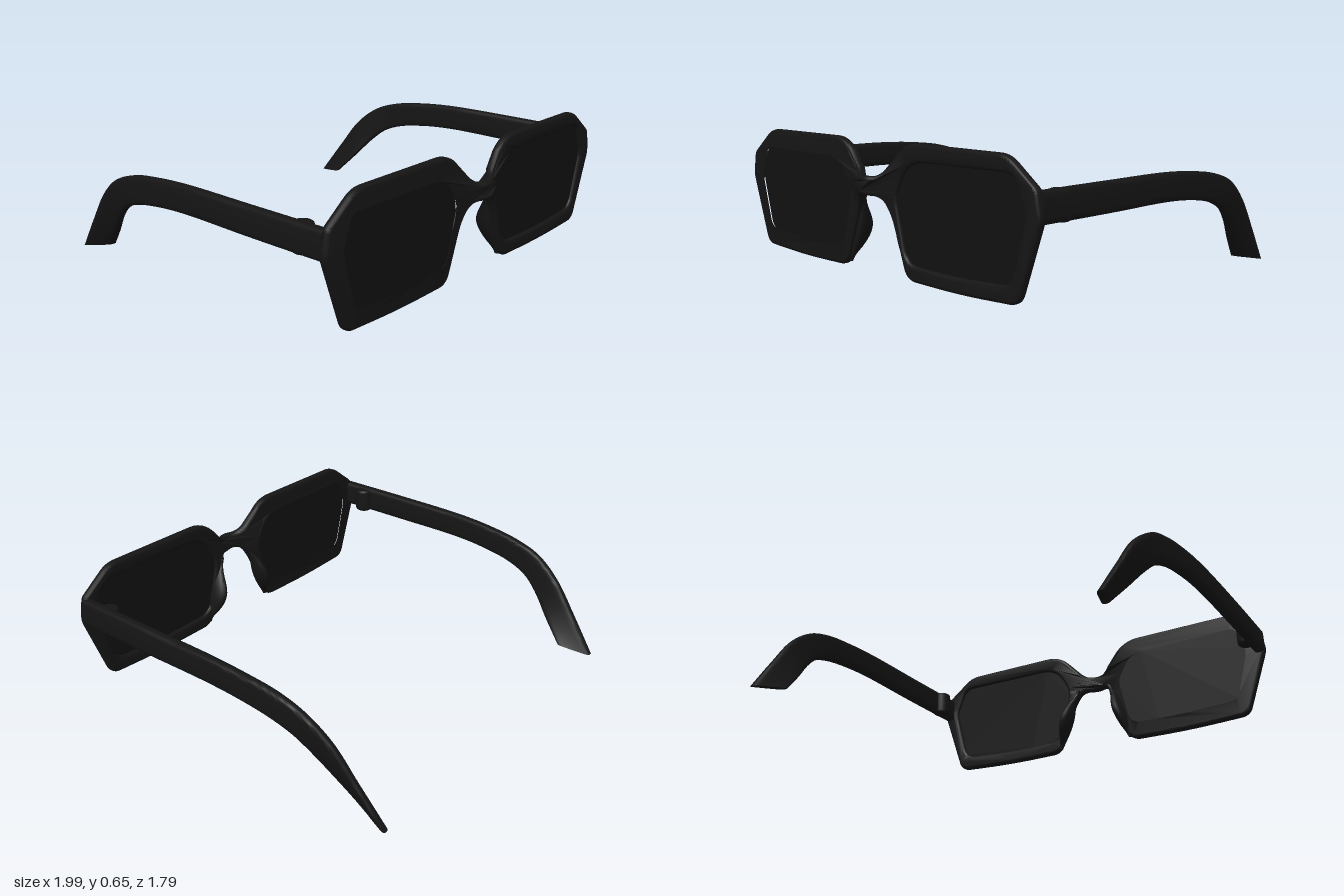
import * as THREE from 'three';
import { mergeVertices, toCreasedNormals } from 'three/addons/utils/BufferGeometryUtils.js';

const frameMat = new THREE.MeshStandardMaterial({ color: 0x151515 });
const lensMat = new THREE.MeshStandardMaterial({ color: 0x111111 });

function part(name, geometry, material = frameMat) {
  const mesh = new THREE.Mesh(geometry, material);
  mesh.name = name;
  return mesh;
}

// Closed outline from [x, y, corner radius] points
function roundedOutline(points, path) {
  const n = points.length;
  points.forEach((p, i) => {
    const corner = new THREE.Vector2(p[0], p[1]);
    const toward = (q) => {
      const d = new THREE.Vector2(q[0], q[1]).sub(corner);
      return corner.clone().add(d.setLength(Math.min(p[2], d.length() * 0.48)));
    };
    const a = toward(points[(i + n - 1) % n]);
    const b = toward(points[(i + 1) % n]);
    if (i === 0) path.moveTo(a.x, a.y);
    else path.lineTo(a.x, a.y);
    path.quadraticCurveTo(corner.x, corner.y, b.x, b.y);
  });
  path.closePath();
  return path;
}

// Capped skin over a list of rings of Vector3
function loft(rings, crease) {
  const n = rings[0].length;
  const last = rings.length - 1;
  const points = rings.flat();
  const index = [];
  for (let i = 0; i < last; i++) {
    for (let j = 0; j < n; j++) {
      const k = (j + 1) % n;
      const a = i * n + j, b = i * n + k, c = a + n, d = b + n;
      index.push(a, c, b, b, c, d);
    }
  }
  for (const end of [0, last]) {
    const centre = new THREE.Vector3();
    rings[end].forEach((p) => centre.addScaledVector(p, 1 / n));
    const m = points.push(centre) - 1;
    for (let j = 0; j < n; j++) {
      const a = end * n + j, b = end * n + ((j + 1) % n);
      if (end === 0) index.push(m, a, b);
      else index.push(m, b, a);
    }
  }
  const geo = new THREE.BufferGeometry().setFromPoints(points);
  geo.setIndex(index);
  return toCreasedNormals(geo, crease);
}

const curve = (pts) => new THREE.CatmullRomCurve3(pts.map((p) => new THREE.Vector3(...p)), false, 'centripetal');

// Left half of the front outline, top centre to bottom centre
const halfOutline = [
  [0, 0.503, 0.02], [0.062, 0.503, 0.04], [0.21, 0.657, 0.08], [0.82, 0.657, 0.05],
  [0.98, 0.535, 0.02], [1.0, 0.42, 0.03], [0.88, 0.078, 0.045], [0.55, 0.062, 0.2],
  [0.215, 0.067, 0.055], [0.12, 0.33, 0.08], [0.075, 0.418, 0.045], [0, 0.418, 0.02],
];
const lensOutline = [
  [0.92, 0.43, 0.04], [0.86, 0.585, 0.05], [0.235, 0.58, 0.1], [0.145, 0.42, 0.05],
  [0.215, 0.14, 0.07], [0.5, 0.13, 0.15], [0.845, 0.15, 0.06],
];
const mirrored = (pts) => pts.map(([x, y, r]) => [-x, y, r]);

function frontFrame() {
  const outline = [...halfOutline, ...mirrored(halfOutline.slice(1, -1)).reverse()];
  const shape = roundedOutline(outline, new THREE.Shape());
  shape.holes.push(roundedOutline(lensOutline, new THREE.Path()));
  shape.holes.push(roundedOutline(mirrored(lensOutline), new THREE.Path()));
  let geo = new THREE.ExtrudeGeometry(shape, {
    depth: 0.012, curveSegments: 10,
    bevelThickness: 0.016, bevelSize: 0.016, bevelOffset: -0.016, bevelSegments: 4,
  });
  geo.translate(0, 0, 0.809);
  // Bow the bridge forward
  const pos = geo.attributes.position;
  for (let i = 0; i < pos.count; i++) {
    const x = Math.min(Math.abs(pos.getX(i)) / 0.14, 1);
    pos.setZ(i, pos.getZ(i) + 0.058 * Math.cos(x * Math.PI / 2) ** 2);
  }
  geo.deleteAttribute('uv');
  geo.deleteAttribute('normal');
  geo = mergeVertices(geo);
  return part('frontFrame', toCreasedNormals(geo, 0.7));
}

function lens() {
  const shape = roundedOutline(lensOutline, new THREE.Shape());
  const geo = new THREE.ExtrudeGeometry(shape, { depth: 0.014, curveSegments: 10, bevelEnabled: false });
  geo.translate(0, 0, 0.808);
  return part('lens', geo, lensMat);
}

// Temple arm: rounded bar between its upper and lower edge, twisting inward at the tip
function temple() {
  const top = curve([
    [0.968, 0.53, 0.81], [0.968, 0.53, 0.4], [0.962, 0.527, 0.0], [0.955, 0.513, -0.2],
    [0.945, 0.488, -0.37], [0.937, 0.44, -0.51], [0.92, 0.34, -0.64], [0.905, 0.185, -0.76], [0.885, 0.004, -0.893],
  ]);
  const bottom = curve([
    [0.968, 0.4, 0.81], [0.968, 0.4, 0.4], [0.962, 0.4, 0.0], [0.955, 0.386, -0.18],
    [0.945, 0.358, -0.34], [0.93, 0.315, -0.45], [0.908, 0.25, -0.53], [0.868, 0.14, -0.63], [0.832, 0.035, -0.73],
  ]);
  const soft = (v) => Math.sign(v) * Math.abs(v) ** 0.45;
  const rings = [];
  const steps = 56;
  for (let i = 0; i <= steps; i++) {
    const u = i / steps;
    const t = top.getPoint(u), b = bottom.getPoint(u);
    const centre = t.clone().add(b).multiplyScalar(0.5);
    const half = t.sub(b).multiplyScalar(0.5);
    const thick = 0.027 - 0.008 * u;
    const ring = [];
    for (let j = 0; j < 24; j++) {
      const a = (j / 24) * Math.PI * 2;
      const p = centre.clone().addScaledVector(half, soft(Math.sin(a)));
      p.x += thick * soft(Math.cos(a));
      ring.push(p);
    }
    rings.push(ring);
  }
  return part('temple', loft(rings, 0.8));
}

// Nose pad: a swell on the back of the inner rim
function nosePad() {
  const path = curve([[0.095, 0.415, 0.81], [0.135, 0.33, 0.81], [0.162, 0.24, 0.81], [0.19, 0.15, 0.81], [0.215, 0.085, 0.81]]);
  const rings = [];
  for (let i = 0; i <= 24; i++) {
    const u = i / 24;
    const c = path.getPoint(u);
    const swell = Math.sin(u * Math.PI) ** 2;
    const width = 0.012 + 0.022 * swell;
    const ring = [];
    for (let j = 0; j < 20; j++) {
      const a = (j / 20) * Math.PI * 2;
      const s = Math.sin(a);
      const depth = s > 0 ? 0.01 + 0.074 * swell : 0.01;
      ring.push(new THREE.Vector3(c.x + width * Math.cos(a), c.y, c.z - depth * s));
    }
    rings.push(ring);
  }
  return part('nosePad', loft(rings, 0.9));
}

// Hinge barrel on the inside of the temple, with softened ends
function hinge() {
  const profile = [[0, -0.063], [0.036, -0.063], [0.044, -0.058], [0.047, -0.048], [0.047, 0.048], [0.044, 0.058], [0.036, 0.063], [0, 0.063]];
  const geo = new THREE.LatheGeometry(profile.map((p) => new THREE.Vector2(...p)), 24);
  geo.translate(0.946, 0.46, 0.67);
  return part('hinge', geo);
}

export function createModel() {
  const model = new THREE.Group();
  model.name = 'glasses';
  model.add(frontFrame());
  for (const side of [1, -1]) {
    const half = new THREE.Group();
    half.name = side > 0 ? 'leftSide' : 'rightSide';
    half.add(lens(), temple(), nosePad(), hinge());
    half.scale.x = side;
    model.add(half);
  }
  return model;
}
